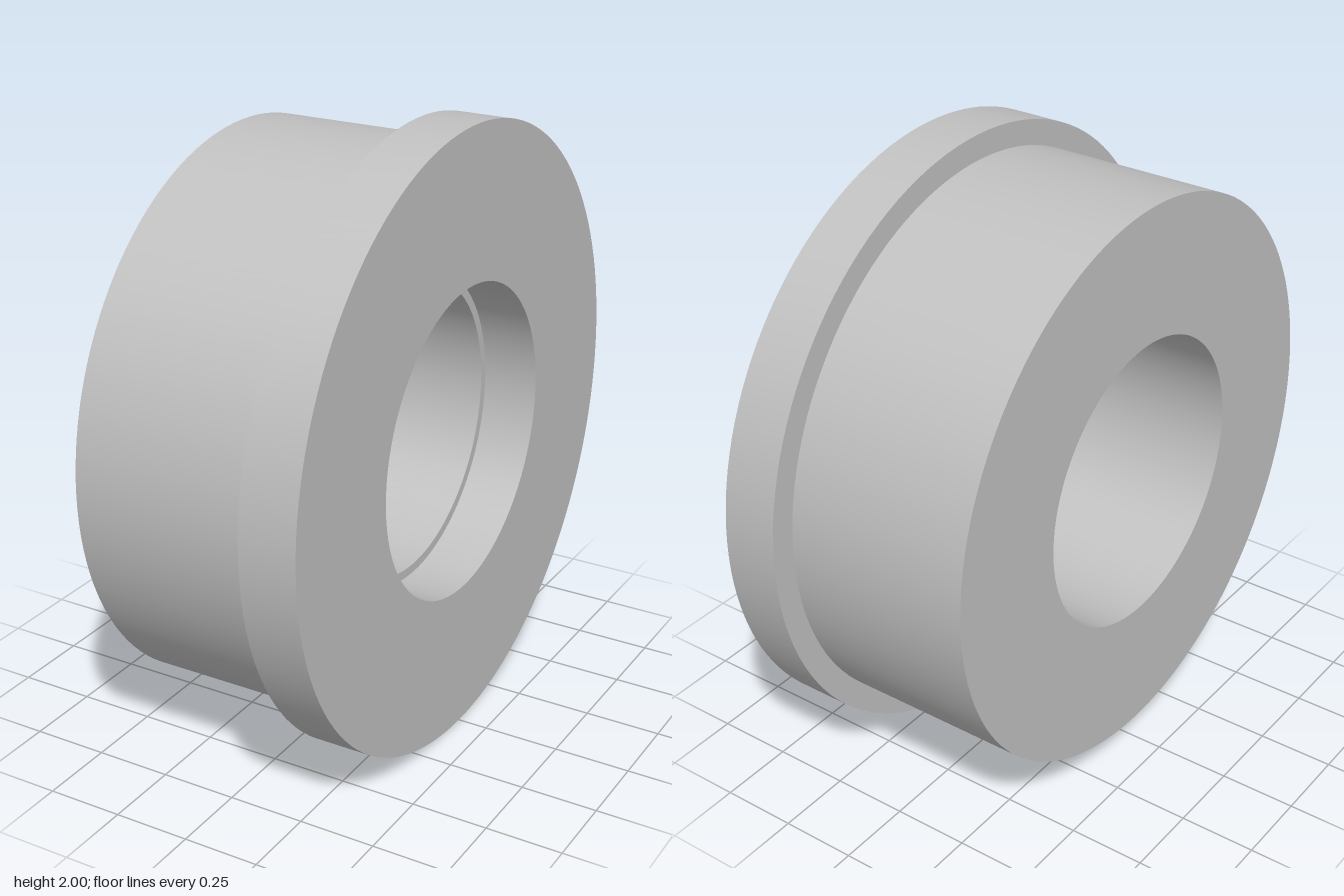
import * as THREE from 'three';
import { toCreasedNormals } from 'three/addons/utils/BufferGeometryUtils.js';

const SEGMENTS = 128;
const OUTER = 1, BODY = 0.918, BORE = 0.475, COUNTERBORE = 0.505;
const END = 0.4, STEP = 0.215;

// Revolves a [radius, x] profile around the x axis, keeping its corners sharp
function revolve(name, profile, material) {
  const points = profile.map(([r, x]) => new THREE.Vector2(r, x));
  const geometry = toCreasedNormals(new THREE.LatheGeometry(points, SEGMENTS), 0.5);
  geometry.rotateZ(-Math.PI / 2);
  const mesh = new THREE.Mesh(geometry, material);
  mesh.name = name;
  return mesh;
}

export function createModel() {
  const group = new THREE.Group();
  group.name = 'flangedBushing';
  const steel = new THREE.MeshStandardMaterial({ color: 0xc0c0c0 });
  steel.name = 'steelGrey';

  // Sleeve: bore, end face and outer wall
  group.add(revolve('sleeve', [
    [BORE, STEP], [BORE, -END], [BODY, -END], [BODY, STEP],
  ], steel));

  // Flange: shoulder, rim, end face, counterbore and its inner ledge
  group.add(revolve('flange', [
    [BODY, STEP], [OUTER, STEP], [OUTER, END],
    [COUNTERBORE, END], [COUNTERBORE, STEP], [BORE, STEP],
  ], steel));

  group.position.y = OUTER;
  return group;
}
